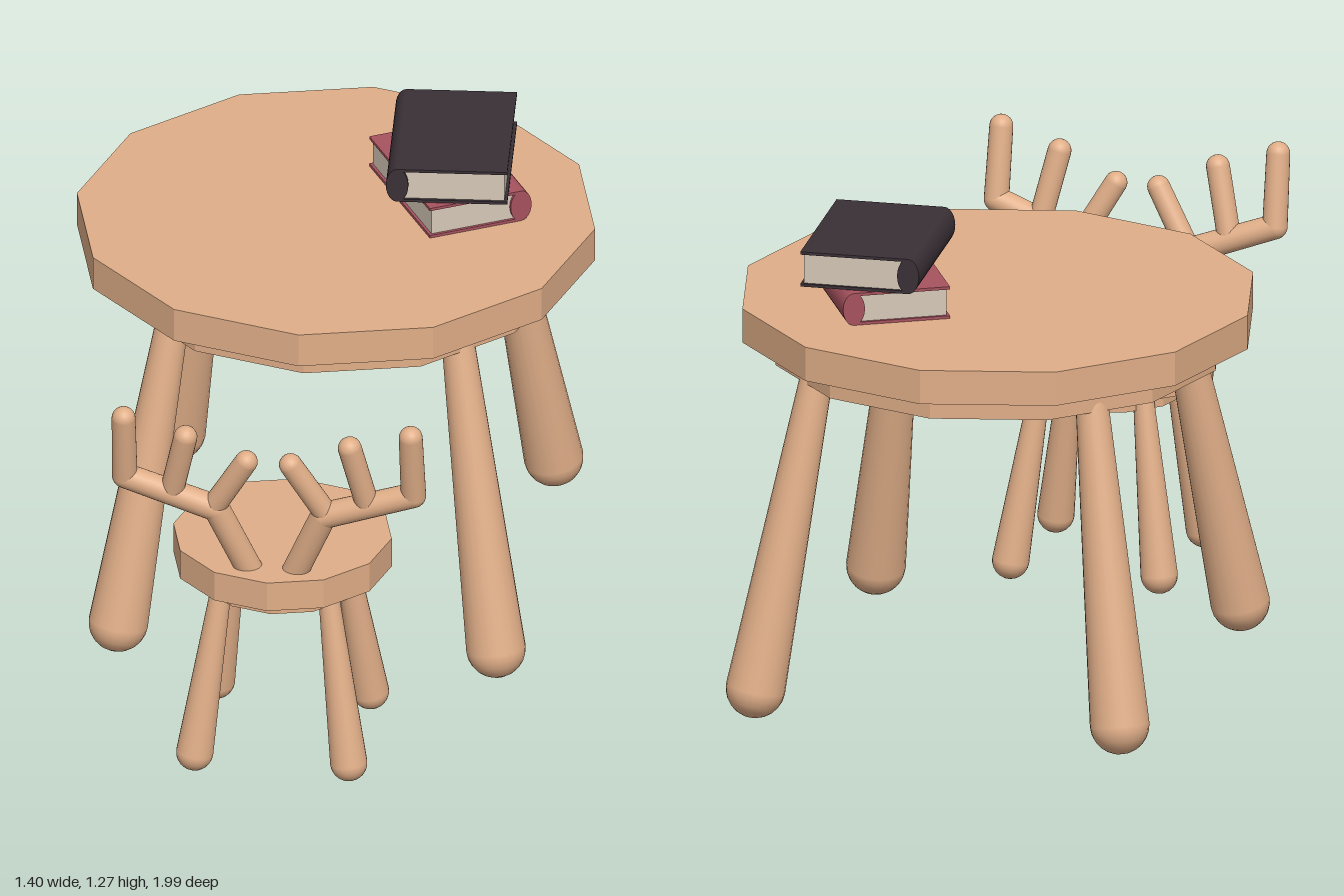
import * as THREE from 'three';

const mat = (color, extra = {}) => new THREE.MeshStandardMaterial({ color, ...extra });
const wood = mat(0xe0ae88);
const woodFlat = mat(0xe0ae88, { flatShading: true });
const paper = mat(0xd6c8b8);

function add(parent, name, geometry, material) {
  const mesh = new THREE.Mesh(geometry, material);
  mesh.name = name;
  parent.add(mesh);
  return mesh;
}

// Tapered round bar with domed ends, from centre a (radius ra) to centre b (radius rb)
function rod(parent, name, a, b, ra, rb) {
  const start = new THREE.Vector3(...a);
  const dir = new THREE.Vector3(...b).sub(start);
  const h = dir.length();
  const pts = [];
  const n = 6;
  for (let i = 0; i <= n; i++) {
    const t = (i / n) * Math.PI / 2;
    pts.push(new THREE.Vector2(ra * Math.sin(t), -ra * Math.cos(t)));
  }
  for (let i = 0; i <= n; i++) {
    const t = (i / n) * Math.PI / 2;
    pts.push(new THREE.Vector2(rb * Math.cos(t), h + rb * Math.sin(t)));
  }
  const mesh = add(parent, name, new THREE.LatheGeometry(pts, 24), wood);
  mesh.position.copy(start);
  mesh.quaternion.setFromUnitVectors(new THREE.Vector3(0, 1, 0), dir.normalize());
}

// Twelve-sided slab between two heights
function slab(parent, name, r, y0, y1) {
  add(parent, name, new THREE.CylinderGeometry(r, r, y1 - y0, 12), woodFlat)
    .position.y = (y0 + y1) / 2;
}

// Four splayed legs: foot and top offsets are [x, y, z]
function legs(parent, name, foot, top, footR, topR) {
  for (const sx of [-1, 1]) for (const sz of [-1, 1]) {
    rod(parent, name, [sx * foot[0], foot[1], sz * foot[2]],
      [sx * top[0], top[1], sz * top[2]], footR, topR);
  }
}

// Book centred on its footprint, spine on the local -x side
function book(name, w, h, l, color) {
  const g = new THREE.Group();
  g.name = name;
  const cover = mat(color);
  const t = 0.008, bulge = 0.03;
  const x0 = -w / 2 + bulge;
  for (const [part, y] of [['bottomCover', t / 2], ['topCover', h - t / 2]]) {
    add(g, part, new THREE.BoxGeometry(w - bulge, t, l), cover)
      .position.set(x0 + (w - bulge) / 2, y, 0);
  }
  add(g, 'pages', new THREE.BoxGeometry(w - bulge - 0.008, h - 2 * t, l - 0.016), paper)
    .position.set(x0 + (w - bulge - 0.008) / 2, h / 2, 0);
  // Rounded spine: squashed half cylinder
  const spine = add(g, 'spine', new THREE.CylinderGeometry(h / 2, h / 2, l, 24), cover);
  spine.geometry.rotateX(Math.PI / 2);
  spine.geometry.scale(bulge / (h / 2), 1, 1);
  spine.position.set(x0, h / 2, 0);
  return g;
}

// One antler of the chair back; s is the side
function antler(s) {
  const g = new THREE.Group();
  g.name = s > 0 ? 'leftAntler' : 'rightAntler';
  const p = (x, y) => [s * x, y, 0.2 + (y - 0.63) * 0.19];
  const fork = p(0.145, 0.815), corner = p(0.39, 0.905);
  rod(g, 'antlerStem', p(0.05, 0.59), fork, 0.036, 0.036);
  rod(g, 'antlerBranch', fork, corner, 0.036, 0.034);
  rod(g, 'outerTine', corner, p(0.388, 1.1), 0.034, 0.032);
  rod(g, 'middleTine', p(0.265, 0.86), p(0.222, 1.05), 0.032, 0.032);
  rod(g, 'innerTine', p(0.15, 0.825), p(0.06, 0.98), 0.032, 0.031);
  return g;
}

export function createModel() {
  const model = new THREE.Group();
  model.name = 'tableAndChair';

  // Table
  const table = new THREE.Group();
  table.name = 'table';
  table.position.z = -0.3;
  slab(table, 'tableTop', 0.7, 0.985, 1.08);
  slab(table, 'tableApron', 0.61, 0.915, 0.985);
  legs(table, 'tableLeg', [0.51, 0.08, 0.54], [0.382, 0.95, 0.385], 0.08, 0.043);
  model.add(table);

  // Chair with antler back
  const chair = new THREE.Group();
  chair.name = 'chair';
  chair.position.set(-0.004, 0, 0.672);
  slab(chair, 'seat', 0.295, 0.545, 0.63);
  slab(chair, 'seatApron', 0.22, 0.495, 0.545);
  legs(chair, 'chairLeg', [0.208, 0.05, 0.203], [0.14, 0.56, 0.137], 0.05, 0.026);
  chair.add(antler(1), antler(-1));
  model.add(chair);

  // Stacked books
  const lower = book('lowerBook', 0.293, 0.09, 0.435, 0xa6525e);
  lower.position.set(0.288, 1.08, -0.447);
  lower.rotation.y = Math.PI + 0.525;
  const upper = book('upperBook', 0.325, 0.098, 0.45, 0x3a3036);
  upper.position.set(0.291, 1.171, -0.445);
  upper.rotation.y = 0.085;
  model.add(lower, upper);

  return model;
}
